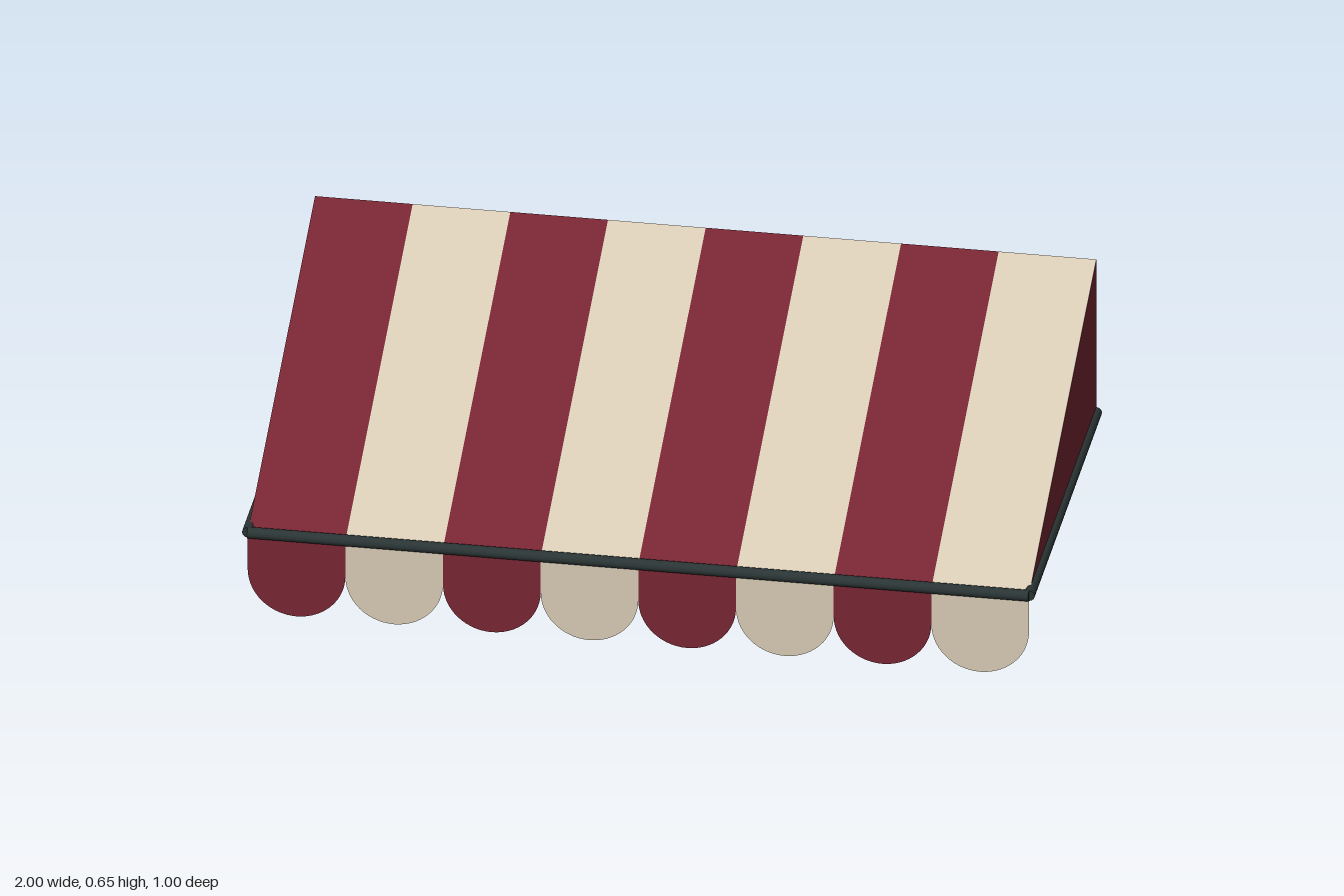
import * as THREE from 'three';

const HALF = 0.985, STRIPES = 8, STRIPE = (2 * HALF) / STRIPES;
const LOW = 0.225, HIGH = 0.655, FRONT = 0.485, BACK = -0.5, BAR = 0.0145;

const mat = (name, color, side = THREE.DoubleSide) => {
  const m = new THREE.MeshStandardMaterial({ color, side });
  m.name = name;
  return m;
};

// Flat sheet from a fan of corner points
function sheet(points) {
  const index = [];
  for (let i = 1; i < points.length - 1; i++) index.push(0, i, i + 1);
  const g = new THREE.BufferGeometry();
  g.setAttribute('position', new THREE.Float32BufferAttribute(points.flat(), 3));
  g.setIndex(index);
  g.computeVertexNormals();
  return g;
}

export function createModel() {
  const group = new THREE.Group();
  group.name = 'awning';
  const red = mat('burgundy canvas', 0x78262f);
  red.color.set(0x782633);
  const cream = mat('cream canvas', 0xd9ccb6);
  const metal = mat('dark metal', 0x2b3535, THREE.FrontSide);

  const add = (name, geometry, material) => {
    const mesh = new THREE.Mesh(geometry, material);
    mesh.name = name;
    group.add(mesh);
    return mesh;
  };

  // Round-bottomed valance flap, hanging from the front bar
  const r = STRIPE / 2;
  const flapShape = new THREE.Shape();
  flapShape.moveTo(r, LOW);
  flapShape.lineTo(-r, LOW);
  flapShape.lineTo(-r, r);
  flapShape.absarc(0, r, r, Math.PI, 2 * Math.PI, false);
  flapShape.closePath();
  const flap = new THREE.ShapeGeometry(flapShape, 14);

  // Sloping canvas stripes with their flaps
  for (let i = 0; i < STRIPES; i++) {
    const x0 = -HALF + i * STRIPE, x1 = x0 + STRIPE;
    const material = i % 2 ? cream : red;
    add('roofStripe', sheet([
      [x0, LOW, FRONT], [x1, LOW, FRONT], [x1, HIGH, BACK], [x0, HIGH, BACK],
    ]), material);
    add('valanceFlap', flap, material).position.set(x0 + r, 0, FRONT);
  }

  // Triangular side panels and the bars along their lower edges
  const length = FRONT - BACK;
  for (const s of [-1, 1]) {
    const x = s * HALF;
    const corners = [[x, LOW, FRONT], [x, LOW, BACK], [x, HIGH, BACK]];
    add('sidePanel', sheet(s > 0 ? corners : corners.reverse()), red);
    const bar = add('sideBar', new THREE.CylinderGeometry(BAR, BAR, length, 12), metal);
    bar.rotation.x = Math.PI / 2;
    bar.position.set(x, LOW, (FRONT + BACK) / 2);
  }

  // Front bar
  const frontBar = add('frontBar', new THREE.CylinderGeometry(BAR, BAR, 2 * HALF, 12), metal);
  frontBar.rotation.z = Math.PI / 2;
  frontBar.position.set(0, LOW, FRONT);

  return group;
}
